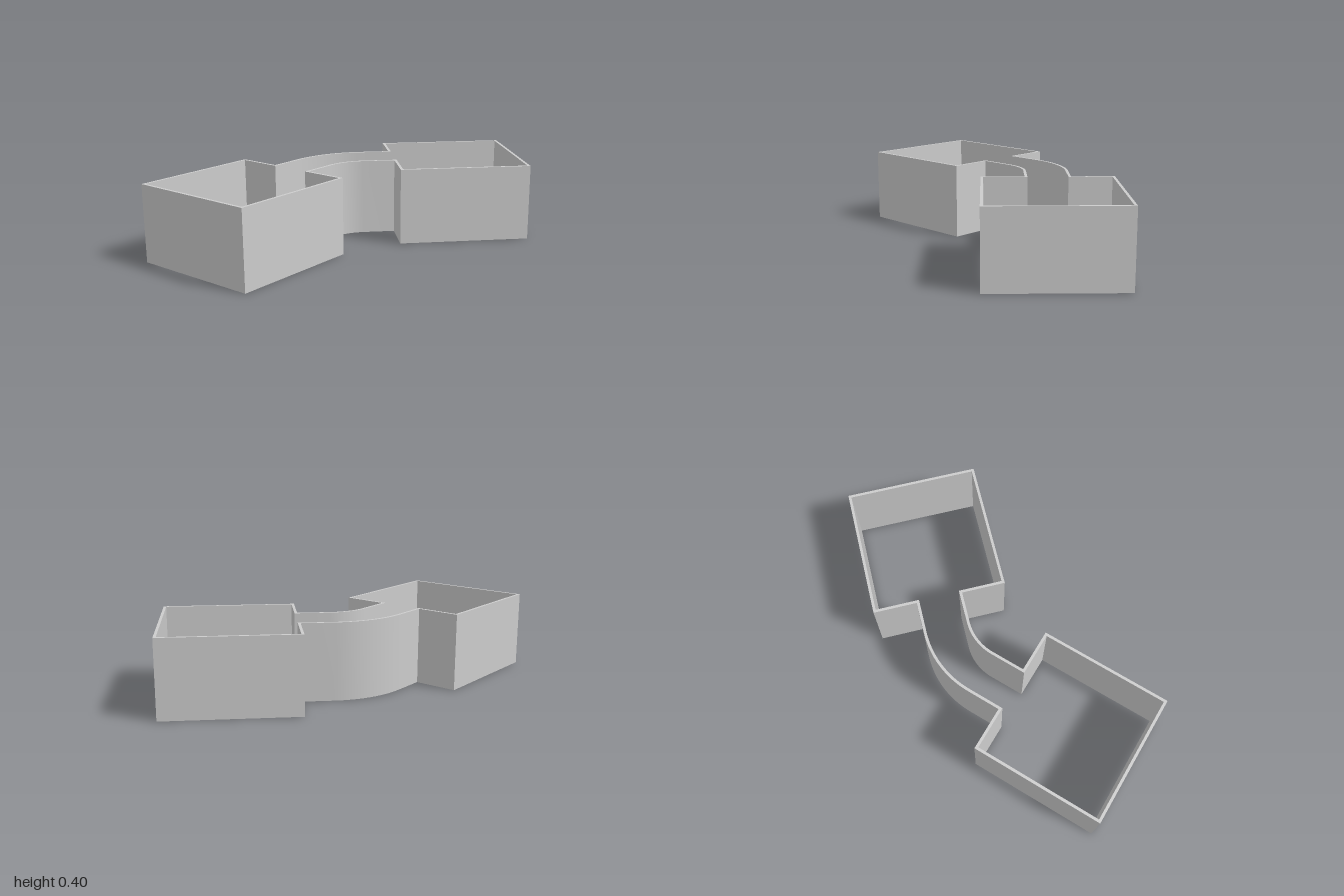
import * as THREE from 'three';
import { toCreasedNormals } from 'three/addons/utils/BufferGeometryUtils.js';

const HEIGHT = 0.403, WALL = 0.014;
const HALF = 0.348;            // half side of both square rooms
const NECK = 0.12;             // half width of the passage
const FRONT = { x: -0.312, z: 0.652 };
const BACK = { x: 0.164, z: -0.507 };
const S = Math.SQRT1_2;

// Closed floor-plan outline in (x, z), moved inwards by d
function outline(d) {
  const h = HALF - d, w = NECK - d;
  const front = (x, z) => new THREE.Vector2(FRONT.x + x, FRONT.z + z);
  // u runs along the passage direction, v to its right
  const back = (u, v) => new THREE.Vector2(BACK.x + (u + v) * S, BACK.z + (v - u) * S);

  // 45 degree bend, concentric for both sides of the passage
  const meetZ = BACK.z + (BACK.x - FRONT.x);
  const R = 0.381;
  const cx = FRONT.x + R, cz = meetZ + R * Math.tan(Math.PI / 8);
  const bend = (r) => Array.from({ length: 17 }, (_, i) => {
    const a = (i / 16) * Math.PI / 4;
    return new THREE.Vector2(cx - r * Math.cos(a), cz - r * Math.sin(a));
  });

  return [
    front(w, -h), front(h, -h), front(h, h), front(-h, h), front(-h, -h), front(-w, -h),
    ...bend(R + w),
    back(-h, -w), back(-h, -h), back(h, -h), back(h, h), back(-h, h), back(-h, w),
    ...bend(R - w).reverse(),
  ];
}

export function createModel() {
  const group = new THREE.Group();
  group.name = 'twoRoomsWithPassage';

  // One continuous thin wall, open above and below
  const shape = new THREE.Shape(outline(0));
  shape.holes.push(new THREE.Path(outline(WALL)));
  const geometry = new THREE.ExtrudeGeometry(shape, { depth: HEIGHT, bevelEnabled: false });
  geometry.rotateX(Math.PI / 2).translate(0, HEIGHT, 0);

  const wall = new THREE.Mesh(
    toCreasedNormals(geometry, Math.PI / 6),
    new THREE.MeshStandardMaterial({ color: 0xcccccc })
  );
  wall.name = 'wall';
  group.add(wall);
  return group;
}
